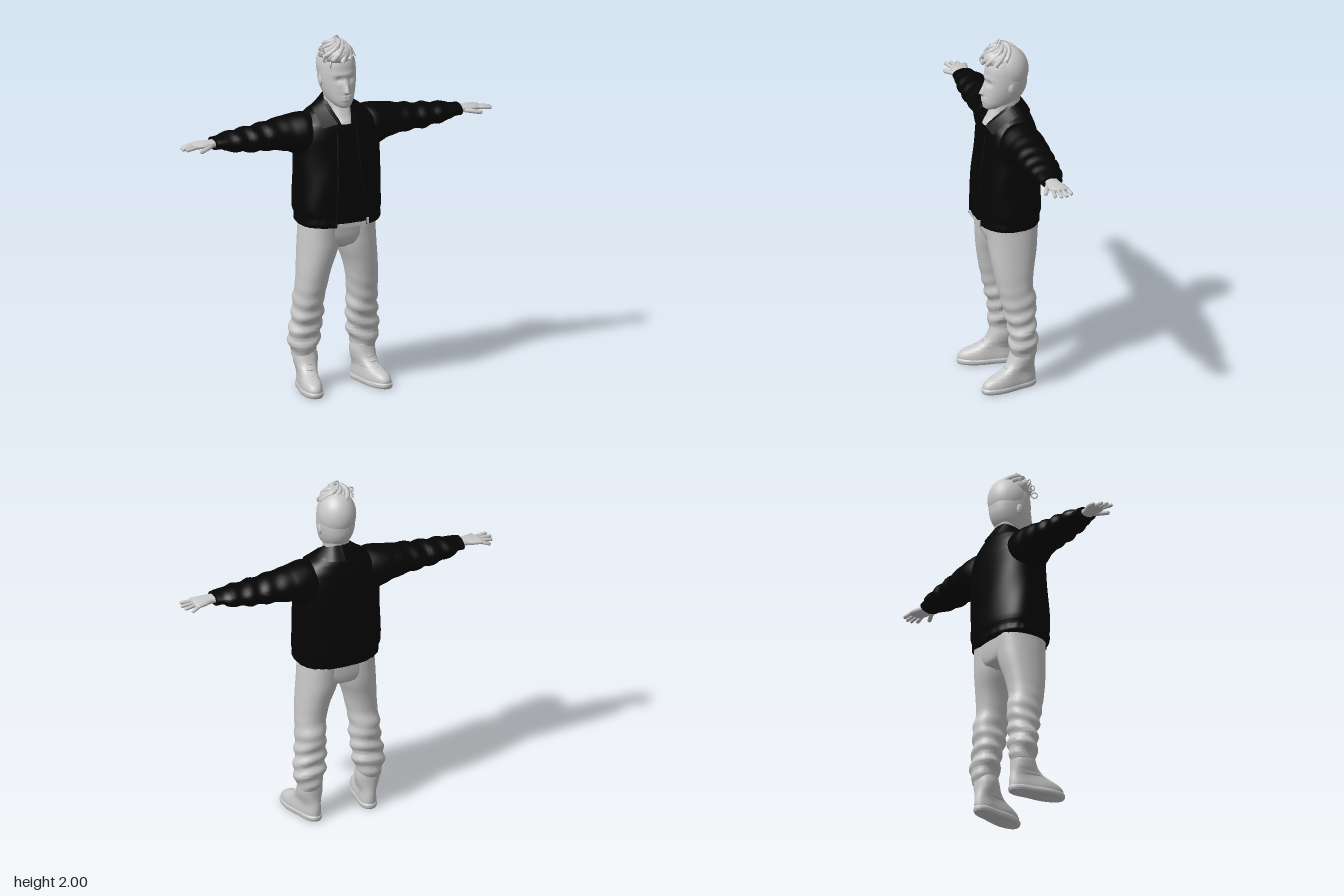
import * as THREE from 'three';
import { toCreasedNormals } from 'three/addons/utils/BufferGeometryUtils.js';

const paleGrey = new THREE.MeshStandardMaterial({ color: 0xc8c8c8 });
paleGrey.name = 'pale grey';
const black = new THREE.MeshStandardMaterial({ color: 0x050505, side: THREE.DoubleSide });
black.name = 'black';

const V = (x, y, z) => new THREE.Vector3(x, y, z);
const bump = (d, w) => Math.exp(-(d * d) / (w * w));

function indexed(pos, idx) {
  const g = new THREE.BufferGeometry();
  g.setAttribute('position', new THREE.Float32BufferAttribute(pos, 3));
  g.setIndex(idx);
  return g;
}

// Smooth skin through sections [y, xMin, xMax, zMin, zMax], bent by an optional rule
function loft(sections, { n = 40, steps = 6, power = 2, rule } = {}) {
  const rows = [], last = sections.length - 1;
  const at = (i) => sections[Math.min(Math.max(i, 0), last)];
  for (let s = 0; s <= last * steps; s++) {
    const i = Math.min(Math.floor(s / steps), last - 1), t = s / steps - i;
    rows.push(at(i).map((b, k) => {
      const a = at(i - 1)[k], c = at(i + 1)[k], d = at(i + 2)[k];
      if (k === 0) return b + (c - b) * t;
      return 0.5 * (2 * b + (c - a) * t + (2 * a - 5 * b + 4 * c - d) * t * t + (3 * b - a - 3 * c + d) * t * t * t);
    }));
  }
  const pos = [], idx = [];
  const round = (v) => Math.sign(v) * Math.abs(v) ** (2 / power);
  rows.forEach(([y, x0, x1, z0, z1]) => {
    for (let j = 0; j < n; j++) {
      const a = (j / n) * Math.PI * 2;
      const p = V((x0 + x1) / 2 + (x1 - x0) / 2 * round(Math.cos(a)), y, (z0 + z1) / 2 + (z1 - z0) / 2 * round(Math.sin(a)));
      if (rule) rule(p, a);
      pos.push(p.x, p.y, p.z);
    }
  });
  for (let i = 0; i < rows.length - 1; i++) for (let j = 0; j < n; j++) {
    const a = i * n + j, b = i * n + (j + 1) % n;
    idx.push(a, a + n, b, b, a + n, b + n);
  }
  // end caps
  [0, rows.length - 1].forEach((r, top) => {
    const [y, x0, x1, z0, z1] = rows[r], c = pos.length / 3;
    pos.push((x0 + x1) / 2, y, (z0 + z1) / 2);
    for (let j = 0; j < n; j++) {
      const a = r * n + j, b = r * n + (j + 1) % n;
      if (top) idx.push(c, b, a); else idx.push(c, a, b);
    }
  });
  return indexed(pos, idx);
}

// Same along x, with sections [x, yMin, yMax, zMin, zMax]
const loftX = (sections, opts) =>
  loft(sections.map(([x, y0, y1, z0, z1]) => [x, -y1, -y0, z0, z1]), opts).rotateZ(-Math.PI / 2);

// Strip between two curves
function ribbon(inner, outer, n = 20) {
  const a = new THREE.CatmullRomCurve3(inner).getPoints(n), b = new THREE.CatmullRomCurve3(outer).getPoints(n);
  const pos = [], idx = [];
  for (let i = 0; i <= n; i++) pos.push(...a[i].toArray(), ...b[i].toArray());
  for (let i = 0; i < n; i++) idx.push(2 * i, 2 * i + 1, 2 * i + 2, 2 * i + 1, 2 * i + 3, 2 * i + 2);
  return indexed(pos, idx);
}

function capsule(a, b, r) {
  const d = b.clone().sub(a);
  const g = new THREE.CapsuleGeometry(r, d.length(), 5, 12);
  g.applyQuaternion(new THREE.Quaternion().setFromUnitVectors(V(0, 1, 0), d.clone().normalize()));
  return g.translate((a.x + b.x) / 2, (a.y + b.y) / 2, (a.z + b.z) / 2);
}

const tube = (pts, r, n = 20) => new THREE.TubeGeometry(new THREE.CatmullRomCurve3(pts), n, r, 8);
const ball = (x, y, z, rx, ry, rz) => new THREE.SphereGeometry(1, 32, 24).scale(rx, ry, rz).translate(x, y, z);

function mirrored(geo) {
  const g = geo.clone().scale(-1, 1, 1), ix = g.index.array;
  for (let i = 0; i < ix.length; i += 3) [ix[i], ix[i + 1]] = [ix[i + 1], ix[i]];
  return g;
}

export function createModel() {
  const model = new THREE.Group();
  const add = (name, geo, mat) => {
    const mesh = new THREE.Mesh(toCreasedNormals(geo, 1), mat);
    mesh.name = name;
    model.add(mesh);
  };
  const pair = (name, geo, mat) => {
    add('left ' + name, geo, mat);
    add('right ' + name, mirrored(geo), mat);
  };

  // Head with nose, eye sockets, lips and chin
  const face = (p) => {
    if (p.z < 0.02) return;
    const nose = p.y < 1.7 ? bump(p.y - 1.7, 0.012) : Math.max(0, 1 - (p.y - 1.7) / 0.075);
    p.z += 0.026 * bump(p.x, 0.014) * nose;
    p.z -= 0.012 * bump(Math.abs(p.x) - 0.037, 0.02) * bump(p.y - 1.765, 0.016);
    p.z += 0.007 * bump(p.x, 0.028) * (bump(p.y - 1.669, 0.007) + bump(p.y - 1.654, 0.007));
    p.z += 0.006 * bump(p.y - 1.795, 0.013) * bump(p.x, 0.06);
  };
  add('head', loft([
    [1.603, -0.02, 0.02, 0.05, 0.095], [1.613, -0.042, 0.042, 0, 0.11], [1.64, -0.066, 0.066, -0.07, 0.115],
    [1.68, -0.083, 0.083, -0.11, 0.113], [1.72, -0.094, 0.094, -0.13, 0.108], [1.76, -0.1, 0.1, -0.136, 0.102],
    [1.8, -0.101, 0.101, -0.136, 0.098], [1.85, -0.097, 0.097, -0.13, 0.092], [1.9, -0.08, 0.08, -0.105, 0.07],
    [1.94, -0.045, 0.045, -0.06, 0.035], [1.952, -0.012, 0.012, -0.02, 0.01],
  ], { n: 72, steps: 8, power: 2.15, rule: face }), paleGrey);
  add('neck', loft([
    [1.515, -0.056, 0.056, -0.09, 0.113], [1.55, -0.062, 0.062, -0.088, 0.09], [1.6, -0.062, 0.062, -0.088, 0.066],
    [1.68, -0.066, 0.066, -0.1, 0.05],
  ], { power: 2.6 }), paleGrey);
  pair('ear', ball(0.096, 1.745, -0.02, 0.011, 0.032, 0.02), paleGrey);

  // Hair: close cap, swirled top knot, loose curls
  add('hair cap', ball(0, 1.825, -0.033, 0.105, 0.13, 0.112), paleGrey);
  add('hair knot', ball(-0.012, 1.895, 0.01, 0.088, 0.062, 0.092), paleGrey);
  for (let k = 0; k < 11; k++) {
    const pts = [];
    for (let i = 0; i <= 6; i++) {
      const u = i / 6, a = k * Math.PI * 2 / 11 + u * 1.7, r = 0.012 + 0.08 * u;
      const z = 0.012 + r * Math.sin(a) * 1.05;
      pts.push(V(-0.015 + r * Math.cos(a), 1.957 - 0.07 * u * u - 0.22 * (z - 0.01) * u + 0.006 * (k % 3), z));
    }
    add('hair strand', tube(pts, 0.013 + 0.002 * (k % 2)), paleGrey);
  }
  add('top hair loop', new THREE.TorusGeometry(0.014, 0.004, 8, 20).translate(-0.018, 1.982, 0.012), paleGrey);
  [[-0.112, 1.912, 0.03], [-0.105, 1.885, 0.055], [-0.085, 1.858, 0.085], [-0.095, 1.93, 0.0]].forEach(([x, y, z], i) =>
    add('loose curl', new THREE.TorusGeometry(0.016, 0.004, 8, 18).rotateY(0.5 * i).translate(x, y, z), paleGrey));

  // Jacket body with soft folds and a gathered hem
  const bodyFolds = (p, a) => {
    const k = 1 + 0.012 * Math.sin(a * 5 + p.y * 14) * bump(p.y - 1.15, 0.2) + (p.y < 0.99 ? 0.006 * Math.sin(a * 24) : 0);
    p.x *= k;
    p.z = -0.02 + (p.z + 0.02) * k;
  };
  add('jacket body', loft([
    [0.945, -0.228, 0.228, -0.175, 0.156], [0.96, -0.238, 0.238, -0.184, 0.162], [0.995, -0.238, 0.238, -0.185, 0.16],
    [1.03, -0.247, 0.247, -0.192, 0.16], [1.2, -0.243, 0.243, -0.19, 0.152], [1.35, -0.243, 0.243, -0.184, 0.134],
    [1.45, -0.248, 0.248, -0.176, 0.122], [1.52, -0.225, 0.225, -0.16, 0.103], [1.57, -0.165, 0.165, -0.142, 0.062],
    [1.6, -0.115, 0.115, -0.125, 0.035], [1.625, -0.085, 0.085, -0.11, 0.01],
  ], { n: 96, power: 2.5, rule: bodyFolds }), black);
  pair('collar', ribbon(
    [V(0, 1.66, -0.097), V(0.055, 1.655, -0.085), V(0.086, 1.625, -0.015), V(0.078, 1.575, 0.06), V(0.055, 1.525, 0.116)],
    [V(0, 1.585, -0.146), V(0.08, 1.587, -0.13), V(0.14, 1.588, -0.035), V(0.148, 1.555, 0.05), V(0.143, 1.508, 0.106)],
  ), black);
  add('left jacket edge', tube([V(0.057, 1.52, 0.112), V(0.065, 1.35, 0.134), V(0.08, 1.15, 0.155), V(0.098, 0.95, 0.158)], 0.006), black);
  add('right jacket edge', tube([V(-0.057, 1.52, 0.112), V(-0.065, 1.35, 0.134), V(-0.075, 1.15, 0.155), V(-0.088, 0.95, 0.158)], 0.006), black);

  // Sleeves with crosswise folds
  const sleeveFolds = (p, a) => {
    const f = 0.006 * Math.sin(p.y * 62 + 1.5 * Math.sin(a)) * bump(p.y - 0.53, 0.17);
    p.x += f * Math.cos(a);
    p.z += f * Math.sin(a);
  };
  pair('sleeve', loftX([
    [0.13, 1.37, 1.565, -0.14, 0.06], [0.2, 1.335, 1.573, -0.157, 0.085], [0.25, 1.345, 1.568, -0.16, 0.08],
    [0.3, 1.366, 1.56, -0.155, 0.064], [0.41, 1.385, 1.542, -0.146, 0.06], [0.5, 1.39, 1.53, -0.136, 0.056],
    [0.6, 1.403, 1.522, -0.126, 0.05], [0.68, 1.418, 1.513, -0.113, 0.042], [0.705, 1.434, 1.505, -0.1, 0.035],
    [0.745, 1.435, 1.501, -0.09, 0.032],
  ], { n: 48, rule: sleeveFolds }), black);

  // Hands
  pair('palm', loftX([
    [0.72, 1.447, 1.49, -0.066, 0.008], [0.77, 1.45, 1.488, -0.066, 0.012], [0.81, 1.45, 1.486, -0.08, 0.018],
    [0.855, 1.453, 1.48, -0.088, 0.01], [0.868, 1.459, 1.474, -0.08, 0.002],
  ], { n: 28, power: 2.4 }), paleGrey);
  [[0.925, 0.012], [0.935, -0.022], [0.927, -0.054], [0.9, -0.09]].forEach(([x, z], i) =>
    pair('finger', capsule(V(0.845, 1.467, -0.002 - i * 0.024), V(x - 0.008, 1.462 - i * 0.003, z), 0.01), paleGrey));
  pair('thumb', capsule(V(0.775, 1.463, 0.008), V(0.845, 1.452, 0.04), 0.012), paleGrey);

  // Trousers, bunched below the knee
  add('trouser seat', loft([
    [0.805, -0.05, 0.05, -0.1, 0.06], [0.83, -0.13, 0.13, -0.145, 0.1], [0.87, -0.205, 0.205, -0.158, 0.118],
    [0.92, -0.212, 0.212, -0.163, 0.126], [0.97, -0.208, 0.208, -0.165, 0.132],
  ], { power: 2.4 }), paleGrey);
  add('waistband', new THREE.BoxGeometry(0.17, 0.022, 0.009).translate(0.004, 0.957, 0.159), paleGrey);
  add('zip pull', new THREE.BoxGeometry(0.012, 0.034, 0.008).translate(0.1, 0.97, 0.166), paleGrey);
  const legFolds = (p, a) => {
    const f = 0.007 * Math.sin(p.y * 75 + 2.2 * Math.sin(a + 0.6)) * bump(p.y - 0.36, 0.16)
      + 0.007 * bump(p.y - 0.52, 0.03) * Math.max(0, -Math.sin(a));
    p.x += f * Math.cos(a);
    p.z += f * Math.sin(a);
  };
  pair('trouser leg', loft([
    [0.185, 0.118, 0.243, -0.122, 0.008], [0.215, 0.112, 0.25, -0.13, 0.016], [0.26, 0.097, 0.264, -0.134, 0.018],
    [0.29, 0.087, 0.268, -0.133, 0.018], [0.35, 0.085, 0.26, -0.126, 0.022], [0.42, 0.078, 0.25, -0.128, 0.042],
    [0.5, 0.083, 0.243, -0.13, 0.06], [0.6, 0.07, 0.236, -0.118, 0.082], [0.7, 0.048, 0.23, -0.13, 0.1],
    [0.8, 0.012, 0.222, -0.15, 0.114], [0.88, -0.002, 0.216, -0.158, 0.12], [0.95, 0, 0.21, -0.163, 0.126],
  ], { n: 56, power: 2.2, rule: legFolds }), paleGrey);

  // Boots, toes turned out
  const place = (g) => g.rotateY(0.19).translate(0.183, 0, 0);
  const waist = (p) => { if (p.y < 0.1) p.x *= 1 - 0.15 * bump(p.z + 0.02, 0.06); };
  pair('boot', place(loft([
    [0.02, -0.058, 0.058, -0.132, 0.186], [0.045, -0.059, 0.059, -0.134, 0.185], [0.07, -0.056, 0.056, -0.133, 0.162],
    [0.09, -0.054, 0.054, -0.13, 0.115], [0.11, -0.055, 0.055, -0.126, 0.07], [0.14, -0.063, 0.063, -0.123, 0.034],
    [0.18, -0.068, 0.068, -0.122, 0.016], [0.215, -0.064, 0.064, -0.12, 0.008],
  ], { power: 2.3, rule: waist })), paleGrey);
  pair('sole', place(loft([
    [0, -0.058, 0.058, -0.133, 0.188], [0.008, -0.062, 0.062, -0.137, 0.193], [0.025, -0.062, 0.062, -0.137, 0.193],
    [0.03, -0.058, 0.058, -0.133, 0.188],
  ], { power: 2.4, steps: 3, rule: waist })), paleGrey);
  for (let i = 0; i < 3; i++) {
    const y = 0.1 + i * 0.026, z = 0.088 - i * 0.034 + (i === 2 ? 0.01 : 0);
    pair('lace', place(tube([V(-0.03, y - 0.004, z - 0.016), V(0, y, z), V(0.03, y - 0.004, z - 0.016)], 0.004, 8)), paleGrey);
  }
  return model;
}
